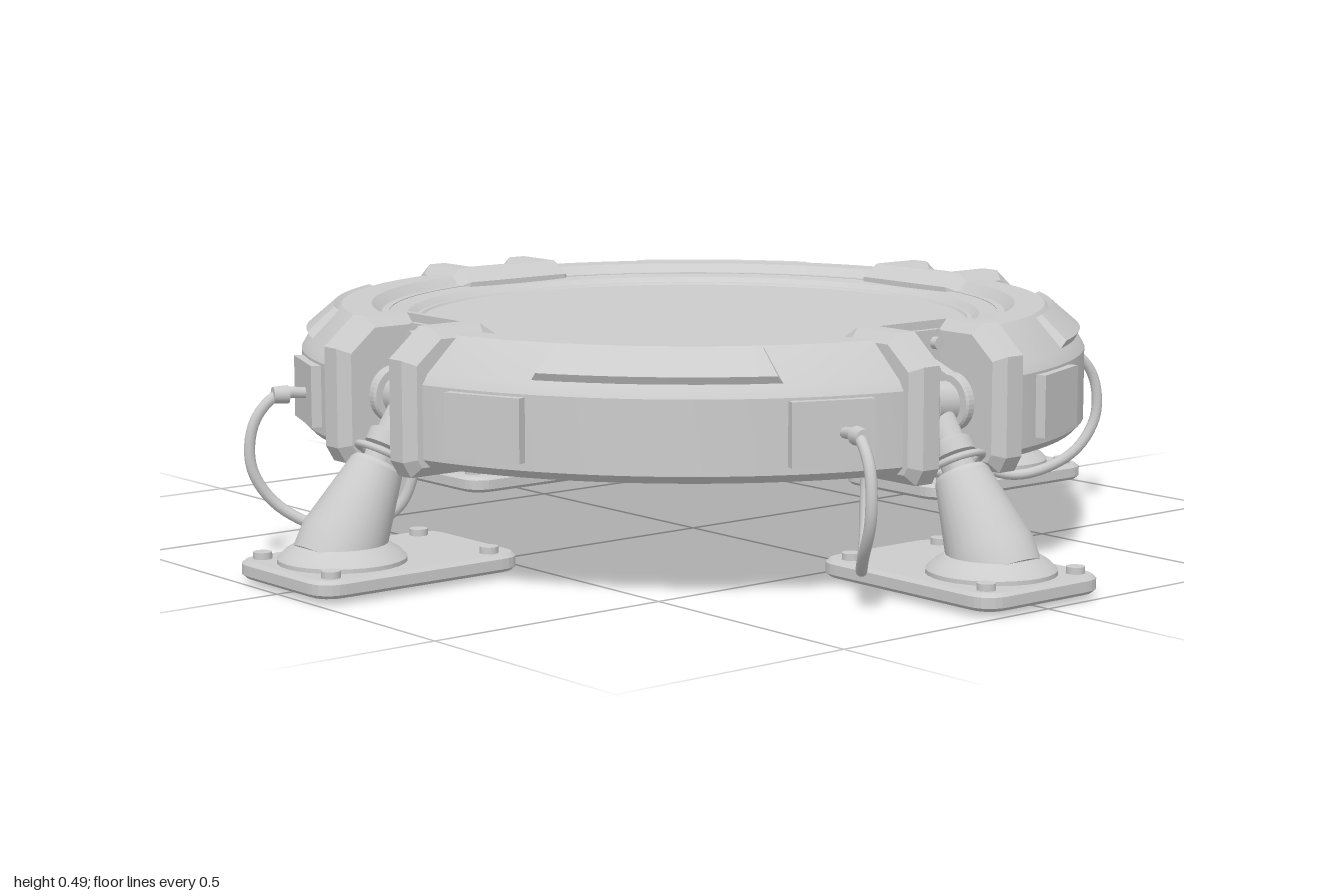
import * as THREE from 'three';
import { toCreasedNormals } from 'three/addons/utils/BufferGeometryUtils.js';

const material = new THREE.MeshStandardMaterial({ color: 0xcccccc });
const V2 = (p) => new THREE.Vector2(p[0], p[1]);
const DEG = Math.PI / 180;

function add(parent, name, geometry, x = 0, y = 0, z = 0) {
  const mesh = new THREE.Mesh(geometry, material);
  mesh.name = name;
  mesh.position.set(x, y, z);
  parent.add(mesh);
  return mesh;
}

function lathe(points, segments, start = 0, length = Math.PI * 2) {
  return toCreasedNormals(new THREE.LatheGeometry(points.map(V2), segments, start, length), 0.4);
}

// Side profile given as [z, y], extruded across x and centred on x = 0
function sideExtrude(shape, width, bevel) {
  const depth = width - 2 * bevel;
  const g = new THREE.ExtrudeGeometry(shape, {
    depth, bevelEnabled: bevel > 0, bevelThickness: bevel, bevelSize: bevel,
    bevelOffset: -bevel, bevelSegments: 1, curveSegments: 10,
  });
  g.translate(0, 0, -depth / 2);
  g.rotateY(-Math.PI / 2);
  return g;
}

function crossPin(radius, width) {
  return toCreasedNormals(new THREE.CylinderGeometry(radius, radius, width, 20).rotateZ(Math.PI / 2), 0.6);
}

// Raised trim that follows the sloping rim of the ring
function bevelTrim() {
  const g = new THREE.BoxGeometry(1, 1, 1, 20, 1, 1);
  const p = g.attributes.position;
  for (let i = 0; i < p.count; i++) {
    const w = p.getZ(i) + 0.5;
    const v = p.getY(i) * (1 - 0.12 * w) + 0.5;
    const phi = (45 + p.getX(i) * (35 - 2 * w - 3 * v)) * DEG;
    const lift = -0.006 + 0.02 * w;
    const r = 0.77 - 0.062 * v + 0.65 * lift;
    p.setXYZ(i, r * Math.sin(phi), 0.4 + 0.053 * v + 0.75 * lift, r * Math.cos(phi));
  }
  return toCreasedNormals(g, 0.4);
}

function footPlate() {
  const w = 0.145, a = 0.55, b = 0.992, c = 0.045;
  const s = new THREE.Shape();
  s.moveTo(-w + c, -b).lineTo(w - c, -b).quadraticCurveTo(w, -b, w, -b + c);
  s.lineTo(w, -a - c).quadraticCurveTo(w, -a, w - c, -a);
  s.lineTo(-w + c, -a).quadraticCurveTo(-w, -a, -w, -a - c);
  s.lineTo(-w, -b + c).quadraticCurveTo(-w, -b, -w + c, -b);
  const g = new THREE.ExtrudeGeometry(s, {
    depth: 0.02, bevelThickness: 0.007, bevelSize: 0.008, bevelSegments: 1, curveSegments: 6,
  });
  return g.rotateX(-Math.PI / 2).translate(0, 0.007, 0);
}

// Everything that repeats on each of the four sides, modelled facing +z
function createSide() {
  const side = new THREE.Group();

  // Quarter of the outer ring, leaving a notch for the leg
  const ring = [
    [0.61, 0.22], [0.77, 0.22], [0.785, 0.235], [0.785, 0.375], [0.774, 0.394],
    [0.705, 0.46], [0.645, 0.46], [0.625, 0.443], [0.61, 0.443], [0.61, 0.22],
  ];
  add(side, 'outerRing', lathe(ring, 20, 8 * DEG, 74 * DEG));
  add(side, 'rimTrim', bevelTrim());

  // Rectangular panels on the ring wall
  for (const s of [-1, 1]) {
    const a = s * 21.5 * DEG;
    const panel = add(side, 'wallPanel', new THREE.BoxGeometry(0.16, 0.12, 0.035),
      0.783 * Math.sin(a), 0.31, 0.783 * Math.cos(a));
    panel.rotation.y = a;
  }

  // U-shaped bracket: two arms and a back wall
  const arm = new THREE.Shape([[0.585, 0.2], [0.785, 0.2], [0.803, 0.23], [0.803, 0.42],
    [0.735, 0.476], [0.625, 0.476], [0.585, 0.45]].map(V2));
  const back = new THREE.Shape([[0.585, 0.2], [0.64, 0.2], [0.64, 0.476], [0.625, 0.476], [0.585, 0.45]].map(V2));
  for (const s of [-1, 1]) add(side, 'bracketArm', sideExtrude(arm, 0.08, 0.02), s * 0.107);
  add(side, 'bracketBack', sideExtrude(back, 0.2, 0));
  add(side, 'hingeBackPlate', new THREE.BoxGeometry(0.12, 0.24, 0.014), 0, 0.34, 0.645);

  // Hinge lugs, pin and small bolts
  const lug = new THREE.Shape();
  lug.moveTo(0.645, 0.27).lineTo(0.7, 0.275).absarc(0.7, 0.33, 0.055, -Math.PI / 2, Math.PI / 2, false);
  lug.lineTo(0.645, 0.405).lineTo(0.645, 0.27);
  for (const s of [-1, 1]) {
    add(side, 'hingeLug', sideExtrude(lug, 0.022, 0.004), s * 0.043);
    const bolt = new THREE.CylinderGeometry(0.012, 0.012, 0.02, 12).rotateX(Math.PI / 2);
    add(side, 'hingeBolt', bolt, s * 0.045, 0.435, 0.655);
  }
  add(side, 'hingePin', crossPin(0.024, 0.13), 0, 0.33, 0.7);
  add(side, 'legEye', crossPin(0.04, 0.055), 0, 0.33, 0.7);

  // Leaning leg: cone, collar and rod
  const leg = new THREE.Group();
  leg.name = 'leg';
  leg.position.set(0, 0.04, 0.87);
  leg.rotation.x = -Math.atan2(0.17, 0.29);
  add(leg, 'legCone', lathe([[0, -0.01], [0.082, -0.01], [0.084, 0.04], [0.052, 0.19], [0.046, 0.198], [0, 0.198]], 24));
  add(leg, 'legRod', lathe([[0.032, 0.19], [0.032, 0.225], [0.042, 0.23], [0.042, 0.255], [0.03, 0.262], [0.027, 0.33]], 20));
  add(leg, 'legRing', new THREE.TorusGeometry(0.05, 0.007, 8, 24).rotateX(Math.PI / 2), 0, 0.215, 0);
  side.add(leg);

  // Foot with flange and corner bolts
  add(side, 'footPlate', footPlate());
  add(side, 'footFlange', lathe([[0.122, 0.03], [0.122, 0.042], [0.108, 0.056], [0.088, 0.068], [0, 0.075]], 28), 0, 0, 0.855);
  for (const x of [-0.115, 0.115]) {
    for (const z of [0.6, 0.957]) {
      add(side, 'footBolt', new THREE.CylinderGeometry(0.018, 0.018, 0.014, 12), x, 0.04, z);
    }
  }

  // Hanging cable from the wall panel to the underside
  const path = new THREE.CatmullRomCurve3([
    [-0.272, 0.31, 0.75], [-0.288, 0.31, 0.805], [-0.303, 0.26, 0.85], [-0.306, 0.17, 0.857],
    [-0.28, 0.09, 0.81], [-0.2, 0.045, 0.72], [-0.122, 0.09, 0.645], [-0.098, 0.17, 0.62], [-0.095, 0.23, 0.62],
  ].map((p) => new THREE.Vector3(...p)));
  add(side, 'cable', new THREE.TubeGeometry(path, 48, 0.011, 10));
  const socket = add(side, 'cableSocket', new THREE.CylinderGeometry(0.016, 0.018, 0.03, 14), -0.283, 0.31, 0.803);
  socket.rotation.set(Math.PI / 2, 0, 0.3);
  return side;
}

export function createModel() {
  const model = new THREE.Group();
  model.name = 'platform';

  // Central deck with a recessed top disc
  const deck = [[0, 0.22], [0.622, 0.22], [0.622, 0.443], [0.575, 0.438], [0.56, 0.428], [0.552, 0.428], [0.548, 0.424], [0, 0.424]];
  add(model, 'deck', lathe(deck, 80));

  for (let i = 0; i < 4; i++) {
    const side = createSide();
    side.name = ['front', 'left', 'back', 'right'][i] + 'Side';
    side.rotation.y = i * Math.PI / 2;
    model.add(side);
  }
  return model;
}
